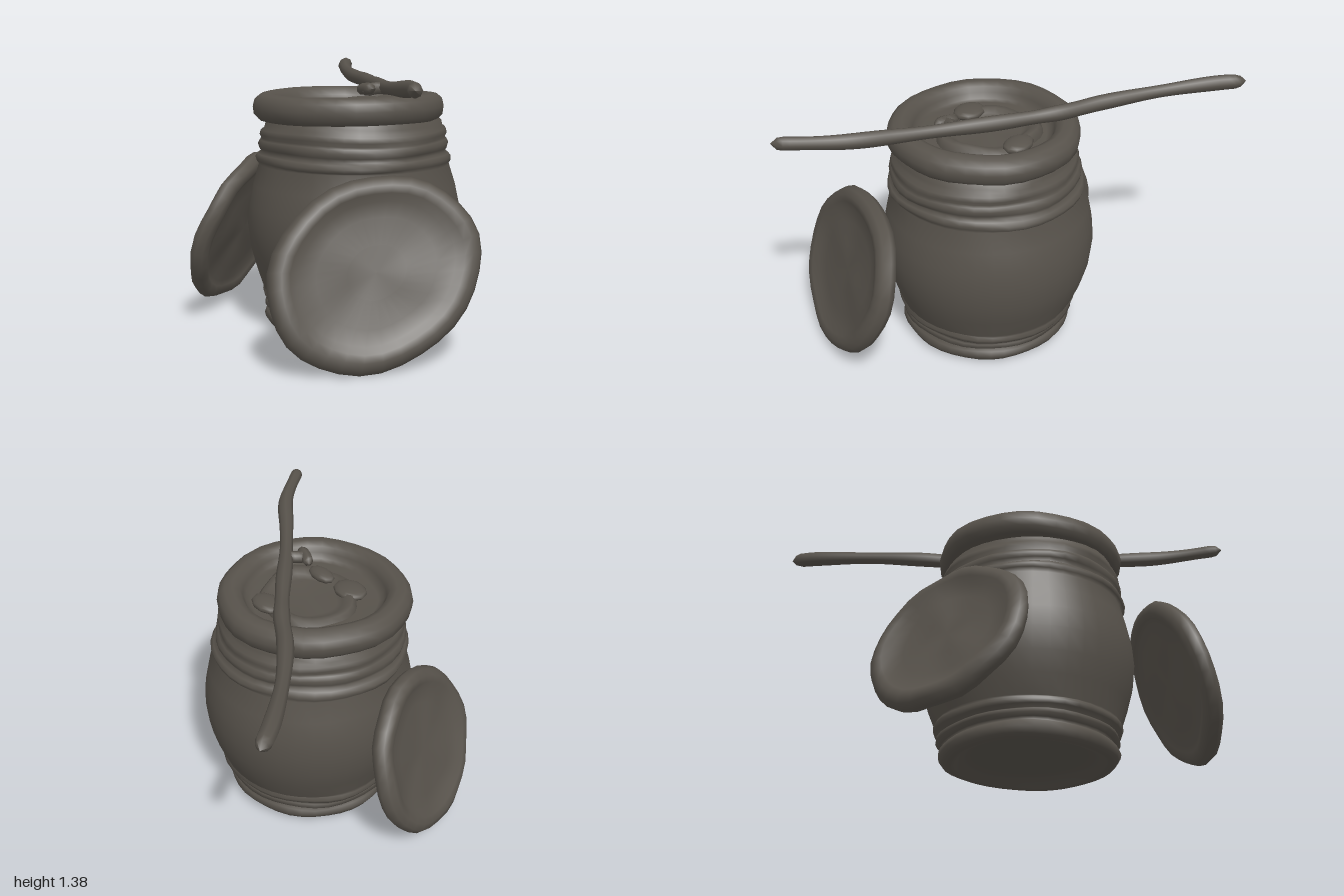
import * as THREE from 'three';
import { mergeVertices } from 'three/addons/utils/BufferGeometryUtils.js';

const clay = new THREE.MeshStandardMaterial({ color: 0x57524b });
clay.name = 'dark clay';

// Move every vertex by a rule, then weld seams and smooth the normals
function sculpt(geometry, rule) {
  geometry.deleteAttribute('uv');
  geometry.deleteAttribute('normal');
  const p = geometry.attributes.position, v = new THREE.Vector3();
  for (let i = 0; i < p.count; i++) {
    v.fromBufferAttribute(p, i);
    rule(v, i);
    p.setXYZ(i, v.x, v.y, v.z);
  }
  const welded = mergeVertices(geometry, 1e-4);
  welded.computeVertexNormals();
  return welded;
}

function part(name, geometry) {
  const mesh = new THREE.Mesh(geometry, clay);
  mesh.name = name;
  return mesh;
}

function lathe(profile, segments, rule) {
  return sculpt(new THREE.LatheGeometry(profile.map(([r, y]) => new THREE.Vector2(r, y)), segments), rule);
}

// Hand-made rod through points with blunt closed ends
function rod(points, radius, sides, rings, swell) {
  const curve = new THREE.CatmullRomCurve3(points.map(p => new THREE.Vector3(...p)));
  return sculpt(new THREE.TubeGeometry(curve, rings, radius, sides, false), (v, i) => {
    const t = Math.floor(i / (sides + 1)) / rings;
    const c = curve.getPointAt(t);
    const end = Math.min(t, 1 - t) * rings;
    const k = end < 0.5 ? 0.002 : end < 1.5 ? 0.8 : swell(t);
    v.sub(c).multiplyScalar(k).add(c);
  });
}

// Oval clay lid with a rolled rim and uneven recessed faces;
// tilt turns its long axis away from the horizontal
function lid(name, center, normal, r, stretch, tilt, rough) {
  const geo = lathe([
    [0, -0.034], [r * 0.3, -0.036], [r * 0.6, -0.034], [r - 0.08, -0.03], [r - 0.05, -0.042],
    [r - 0.02, -0.05], [r + 0.015, -0.036], [r + 0.032, 0], [r + 0.015, 0.036], [r - 0.02, 0.052],
    [r - 0.055, 0.045], [r - 0.09, 0.022], [r * 0.6, 0.014], [r * 0.3, 0.011], [0, 0.01],
  ], 32, v => {
    const a = Math.atan2(v.z, v.x), d = Math.hypot(v.x, v.z);
    const k = 1 + 0.01 * Math.sin(3 * a + 1) + 0.008 * Math.sin(7 * a);
    if (d > 0.01) v.y += rough * Math.sin(v.x * 17 + 1) * Math.cos(v.z * 14) + 0.005 * Math.sin(2 * a);
    v.x *= k * stretch;
    v.z *= k;
  });
  const mesh = part(name, geo);
  const n = new THREE.Vector3(...normal).normalize();
  const level = new THREE.Vector3(0, 1, 0).cross(n).normalize();
  const long = level.applyAxisAngle(n, tilt);
  const short = new THREE.Vector3().crossVectors(long, n);
  mesh.quaternion.setFromRotationMatrix(new THREE.Matrix4().makeBasis(long, n, short));
  mesh.position.set(...center);
  return mesh;
}

export function createModel() {
  const model = new THREE.Group();
  model.name = 'clayJar';

  // Jar: recessed foot, lower bands, bulging belly, neck bands
  const jar = part('jarBody', lathe([
    [0, 0.07], [0.3, 0.065], [0.36, 0.05], [0.39, 0.015], [0.42, 0.008], [0.455, 0.02],
    [0.472, 0.05], [0.465, 0.082], [0.44, 0.095], [0.455, 0.105], [0.48, 0.12], [0.475, 0.142],
    [0.465, 0.15], [0.49, 0.165], [0.498, 0.185], [0.488, 0.202], [0.49, 0.21],
    [0.53, 0.32], [0.56, 0.43], [0.573, 0.55], [0.565, 0.66], [0.542, 0.77], [0.508, 0.88],
    [0.52, 0.895], [0.525, 0.915], [0.512, 0.935], [0.49, 0.945], [0.502, 0.965],
    [0.507, 0.99], [0.495, 1.01], [0.485, 1.02], [0.494, 1.04], [0.488, 1.065], [0.47, 1.08],
    [0.468, 1.1], [0.45, 1.125], [0.44, 1.15], [0.4, 1.16],
  ], 40, v => {
    const a = Math.atan2(v.z, v.x);
    const banded = (v.y > 0.88 && v.y < 1.12) || (v.y < 0.205 && Math.hypot(v.x, v.z) > 0.38);
    const band = banded ? 1 : 0;
    const k = 1 + band * (0.008 * Math.sin(3 * a + v.y * 20) + 0.007 * Math.sin(8 * a + v.y * 31));
    const neck = THREE.MathUtils.smoothstep(v.y, 0.8, 1.05);
    // the foot and the neck sit slightly off the belly's axis
    v.x = v.x * k + 0.01 * neck;
    v.z = v.z * k + 0.018 * Math.max(0, 1 - v.y / 0.3) + 0.018 * neck;
    v.y = Math.max(0.003, v.y + band * 0.006 * Math.sin(3 * a + v.y * 9));
  }));
  jar.position.set(0.017, 0, 0.023);

  // Thick rolled rim with the sunken top inside it
  const rim = part('rim', lathe([
    [0.42, 1.11], [0.475, 1.118], [0.5, 1.145], [0.505, 1.185], [0.495, 1.225], [0.465, 1.25],
    [0.42, 1.256], [0.385, 1.24], [0.37, 1.21], [0.355, 1.18], [0.33, 1.17], [0.15, 1.17], [0, 1.17],
  ], 32, v => {
    const a = Math.atan2(v.z, v.x), d = Math.hypot(v.x, v.z);
    const k = 1 + 0.01 * Math.sin(3 * a) + 0.008 * Math.sin(8 * a + 2);
    v.x *= k;
    v.z *= k;
    if (d > 0.01) v.y += 0.005 * Math.sin(2 * a + 1);
  }));
  rim.position.set(0.01, 0, 0.052);

  // Uneven raised swirl on the sunken top, hollow in the middle
  const swirl = part('topSwirl', lathe([
    [0.27, 1.15], [0.265, 1.185], [0.245, 1.205], [0.215, 1.205], [0.19, 1.185], [0.16, 1.175], [0, 1.174],
  ], 32, v => {
    const a = Math.atan2(v.z, v.x), d = Math.hypot(v.x, v.z);
    const k = 1 + 0.06 * Math.sin(2 * a + 0.6) + 0.04 * Math.sin(5 * a);
    v.x *= k;
    v.z *= k;
    if (d > 0.17 && v.y > 1.16) v.y += 0.01 * Math.sin(3 * a + 1);
  }));
  swirl.position.set(0.02, 0, 0.02);
  model.add(jar, rim, swirl);

  // Lumps on the swirl
  [[-0.09, 0.21, 0.1, 0.08], [0.12, 0.19, 0.09, 0.05], [0.08, -0.2, 0.1, 0.07]].forEach(([x, z, sx, sz]) => {
    const lump = part('topLump', new THREE.SphereGeometry(1, 10, 8));
    lump.scale.set(sx, 0.03, sz);
    lump.position.set(x, 1.198, z);
    model.add(lump);
  });

  // Bent stick lying across the rim, with a knot and a cut side twig
  model.add(part('stick', rod([
    [-0.935, 1.345, -0.995], [-0.84, 1.338, -0.87], [-0.61, 1.318, -0.63], [-0.37, 1.302, -0.43],
    [-0.18, 1.294, -0.305], [0.026, 1.29, -0.14], [0.265, 1.291, 0.065], [0.5, 1.302, 0.25],
    [0.71, 1.32, 0.41], [0.93, 1.335, 0.67],
  ], 0.038, 8, 80, t => 1 + 0.1 * Math.sin(t * 25) + 0.2 * Math.exp(-(((t - 0.42) / 0.04) ** 2)))));
  model.add(part('twig', rod([[0.27, 1.285, 0.06], [0.23, 1.285, 0.11], [0.21, 1.27, 0.18]],
    0.032, 7, 8, () => 1)));
  model.add(part('twigStub', rod([[0.14, 1.275, 0.12], [0.2, 1.285, 0.15], [0.28, 1.29, 0.17]],
    0.03, 7, 8, () => 1)));

  // Lids leaning against both sides of the jar
  model.add(lid('leftLid', [0.603, 0.457, 0.535], [0.8, 0.3, 0.52], 0.415, 1.24, 0.44, 0.004));
  model.add(lid('rightLid', [-0.657, 0.475, 0.25], [-0.89, 0.33, 0.32], 0.415, 1, 0, 0.008));
  return model;
}
